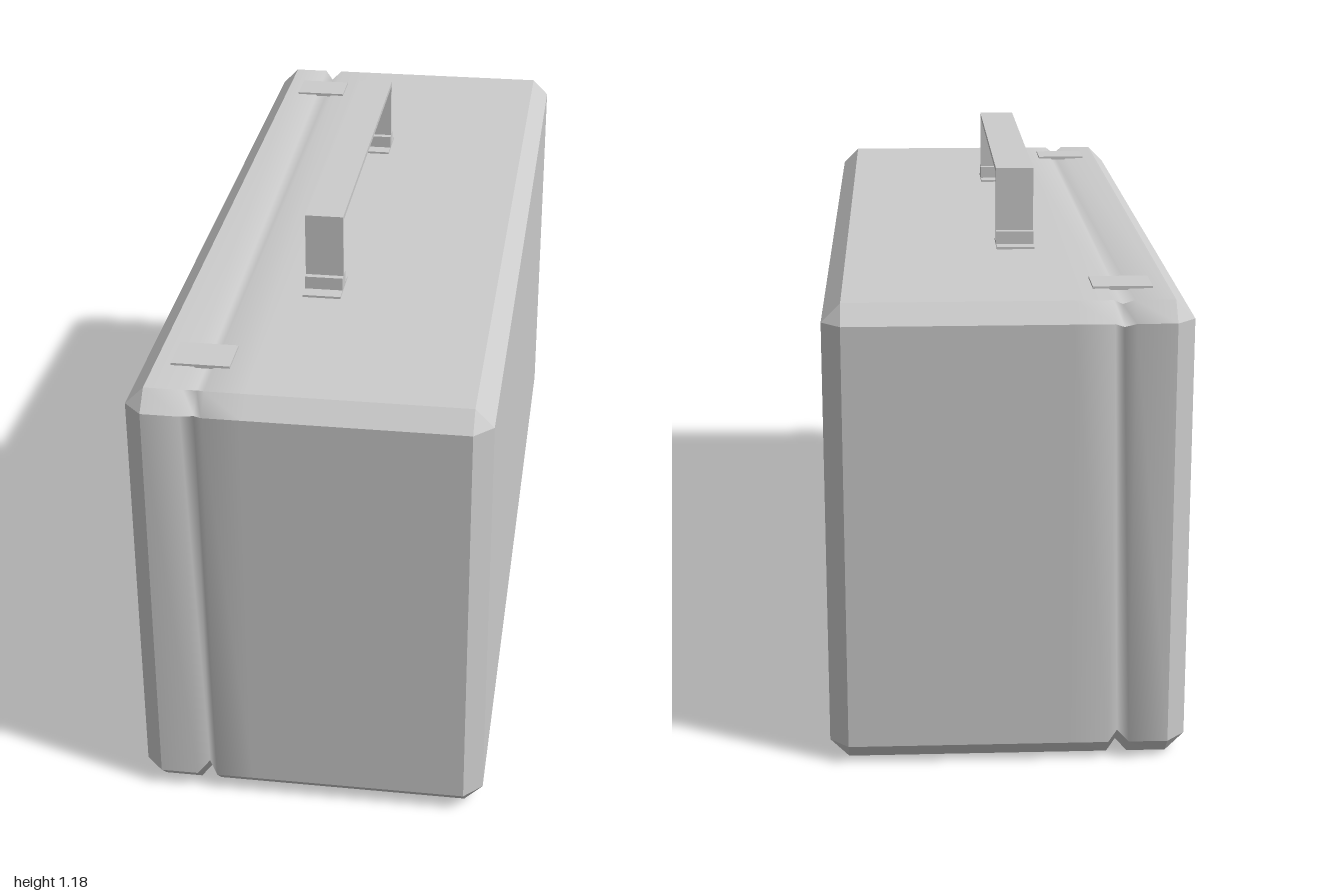
import * as THREE from 'three';
import { mergeGeometries } from 'three/addons/utils/BufferGeometryUtils.js';

const material = new THREE.MeshStandardMaterial({ color: 0xcccccc });
const BEVEL = 0.04;

// Chamfered rectangle across the case as [y, z] pairs, scaled about its middle
function outline(scale) {
  const a = 0.5, b = 1, k = BEVEL;
  return [[a, k - b], [a, b - k], [a - k, b], [k - a, b], [-a, b - k], [-a, k - b], [k - a, -b], [a - k, -b]]
    .map(([y, z]) => [0.5 + y * scale, z * scale]);
}

// End rectangle: the outline drawn in to the flat side panel
function endOutline() {
  return outline(1).map(([y, z]) => [
    THREE.MathUtils.clamp(y, BEVEL, 1 - BEVEL),
    THREE.MathUtils.clamp(z, BEVEL - 1, 1 - BEVEL)]);
}

// One facet of the case, smooth along x and sharp against its neighbours
function facet(sections, i) {
  const positions = [], index = [];
  sections.forEach(({ x, ring }, s) => {
    const p = ring[i], q = ring[(i + 1) % ring.length];
    positions.push(x, ...p, x, ...q);
    if (s > 0) {
      const a = 2 * s - 2;
      index.push(a, a + 1, a + 3, a, a + 3, a + 2);
    }
  });
  const g = new THREE.BufferGeometry();
  g.setAttribute('position', new THREE.Float32BufferAttribute(positions, 3));
  g.setIndex(index);
  g.computeVertexNormals();
  return g;
}

function caseGeometry() {
  const full = outline(1), end = endOutline();
  const runs = [
    [{ x: -0.38, ring: end }, { x: -0.34, ring: full }],
    // walls, with the V groove between lid and body
    [{ x: -0.34, ring: full }, { x: -0.257, ring: full }, { x: -0.235, ring: outline(0.97) },
      { x: -0.213, ring: full }, { x: -0.13, ring: full }, { x: 0.34, ring: full }],
    [{ x: 0.34, ring: full }, { x: 0.38, ring: end }],
  ];
  const parts = runs.flatMap((run) => full.map((_, i) => facet(run, i)));
  // flat side panels
  for (const side of [-1, 1]) {
    const panel = new THREE.PlaneGeometry(2 - 2 * BEVEL, 1 - 2 * BEVEL);
    panel.deleteAttribute('uv');
    parts.push(panel.rotateY(side * Math.PI / 2).translate(side * 0.38, 0.5, 0));
  }
  return mergeGeometries(parts);
}

// Box given by its lower and upper limits
function box(name, [x0, y0, z0], [x1, y1, z1]) {
  const mesh = new THREE.Mesh(new THREE.BoxGeometry(x1 - x0, y1 - y0, z1 - z0), material);
  mesh.position.set((x0 + x1) / 2, (y0 + y1) / 2, (z0 + z1) / 2);
  mesh.name = name;
  return mesh;
}

// Flat strap bent into a square arch
function handleStrap(x0, x1, z0, z1, top, t) {
  const s = new THREE.Shape();
  [[z0, 1], [z0, top], [z1, top], [z1, 1], [z1 - t, 1], [z1 - t, top - t], [z0 + t, top - t], [z0 + t, 1]]
    .forEach(([z, y], i) => (i ? s.lineTo(-z, y) : s.moveTo(-z, y)));
  const g = new THREE.ExtrudeGeometry(s, { depth: x1 - x0, bevelEnabled: false });
  g.rotateY(Math.PI / 2).translate(x0, 0, 0);
  const mesh = new THREE.Mesh(g, material);
  mesh.name = 'handleStrap';
  return mesh;
}

export function createModel() {
  const model = new THREE.Group();
  model.name = 'suitcase';

  const body = new THREE.Mesh(caseGeometry(), material);
  body.name = 'caseShell';
  model.add(body);

  // Carrying handle with a mount under each leg
  const handle = new THREE.Group();
  handle.name = 'handle';
  handle.add(handleStrap(-0.085, 0, -0.413, 0.457, 1.177, 0.011));
  for (const z of [-0.408, 0.45]) {
    handle.add(box('mountPlate', [-0.085, 0.995, z - 0.055], [0, 1.005, z + 0.055]));
    handle.add(box('mountSocket', [-0.085, 1.0, z - 0.021], [0, 1.034, z + 0.021]));
  }
  model.add(handle);

  // Latch plates bridging the groove
  for (const z of [-0.81, 0.81]) {
    model.add(box('latchPlate', [-0.305, 0.997, z - 0.048], [-0.18, 1.005, z + 0.048]));
  }
  return model;
}
